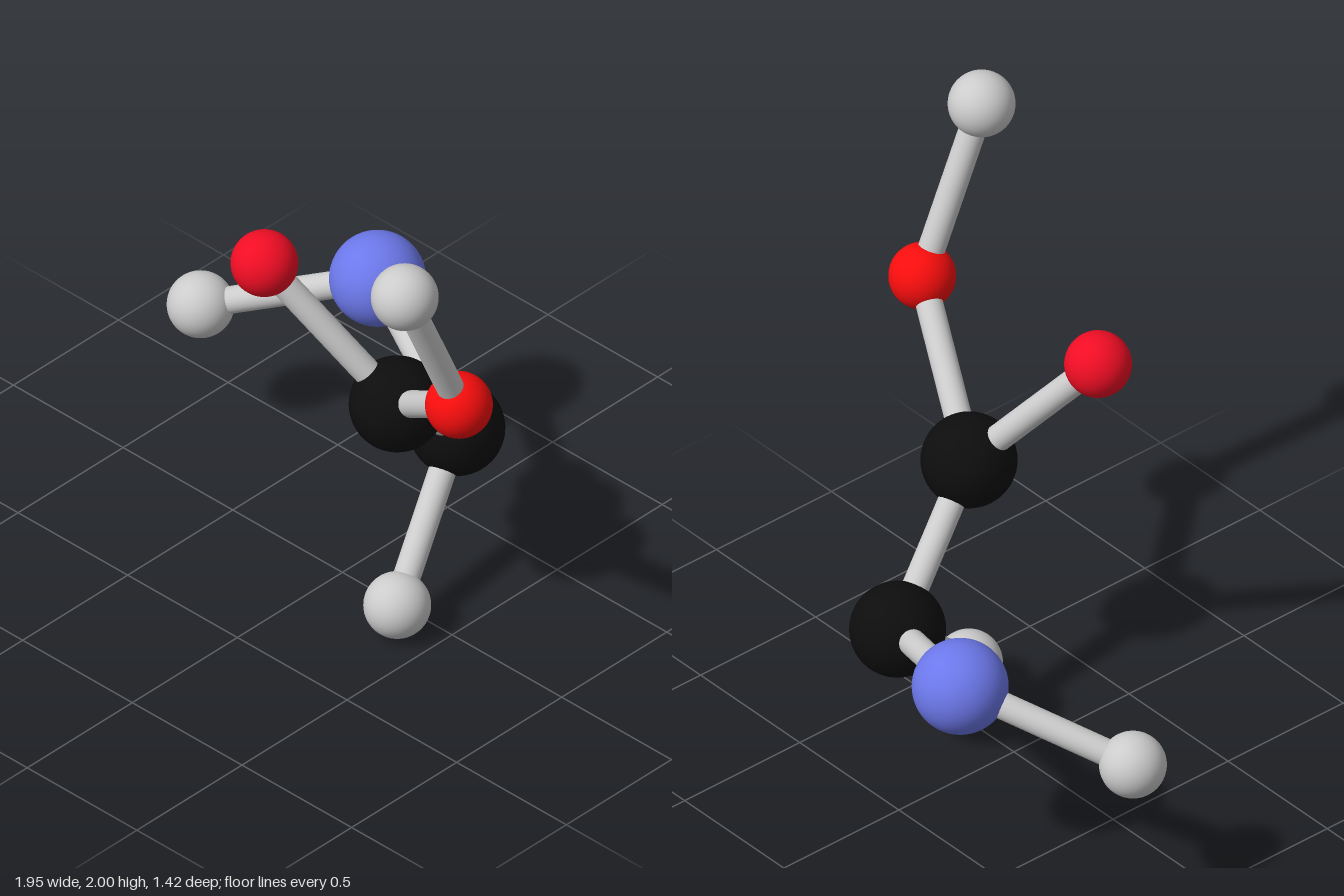
import * as THREE from 'three';

const BOND_RADIUS = 0.046;

// name: [position, radius, colour]
const ATOMS = {
  carbonUpper: [[0.36, 0.94, 0.115], 0.16, 0x0d0d0d],
  carbonLower: [[0.215, 0.537, -0.32], 0.16, 0x0d0d0d],
  nitrogen: [[-0.365, 0.73, -0.548], 0.16, 0x6c78ea],
  oxygenLeft: [[0.857, 1.31, 0.34], 0.112, 0xf80d0d],
  oxygenRight: [[-0.03, 1.437, 0.34], 0.112, 0xf00d24],
  hydrogenTop: [[0.857, 1.888, 0.598], 0.112, 0xcccccc],
  hydrogenBottom: [[0.36, 0.117, 0.115], 0.112, 0xcccccc],
  hydrogenRight: [[-0.867, 0.537, -0.23], 0.112, 0xcccccc],
};

const BONDS = [
  ['carbonUpper', 'carbonLower'],
  ['carbonUpper', 'oxygenLeft'],
  ['carbonUpper', 'oxygenRight'],
  ['oxygenLeft', 'hydrogenTop'],
  ['carbonLower', 'nitrogen'],
  ['carbonLower', 'hydrogenBottom'],
  ['nitrogen', 'hydrogenRight'],
];

export function createModel() {
  const model = new THREE.Group();
  model.name = 'molecule';

  // Atoms: smooth balls
  for (const [name, [position, radius, color]] of Object.entries(ATOMS)) {
    const ball = new THREE.Mesh(
      new THREE.SphereGeometry(radius, 48, 32),
      new THREE.MeshStandardMaterial({ color })
    );
    ball.name = name;
    ball.position.set(...position);
    model.add(ball);
  }

  // Bonds: round rods running from centre to centre
  const rodMaterial = new THREE.MeshStandardMaterial({ color: 0xcccccc });
  const up = new THREE.Vector3(0, 1, 0);
  for (const [from, to] of BONDS) {
    const a = new THREE.Vector3(...ATOMS[from][0]);
    const b = new THREE.Vector3(...ATOMS[to][0]);
    const rod = new THREE.Mesh(
      new THREE.CylinderGeometry(BOND_RADIUS, BOND_RADIUS, a.distanceTo(b), 32),
      rodMaterial
    );
    rod.name = `bond ${from} to ${to}`;
    rod.position.copy(a).lerp(b, 0.5);
    rod.quaternion.setFromUnitVectors(up, b.clone().sub(a).normalize());
    model.add(rod);
  }

  return model;
}
